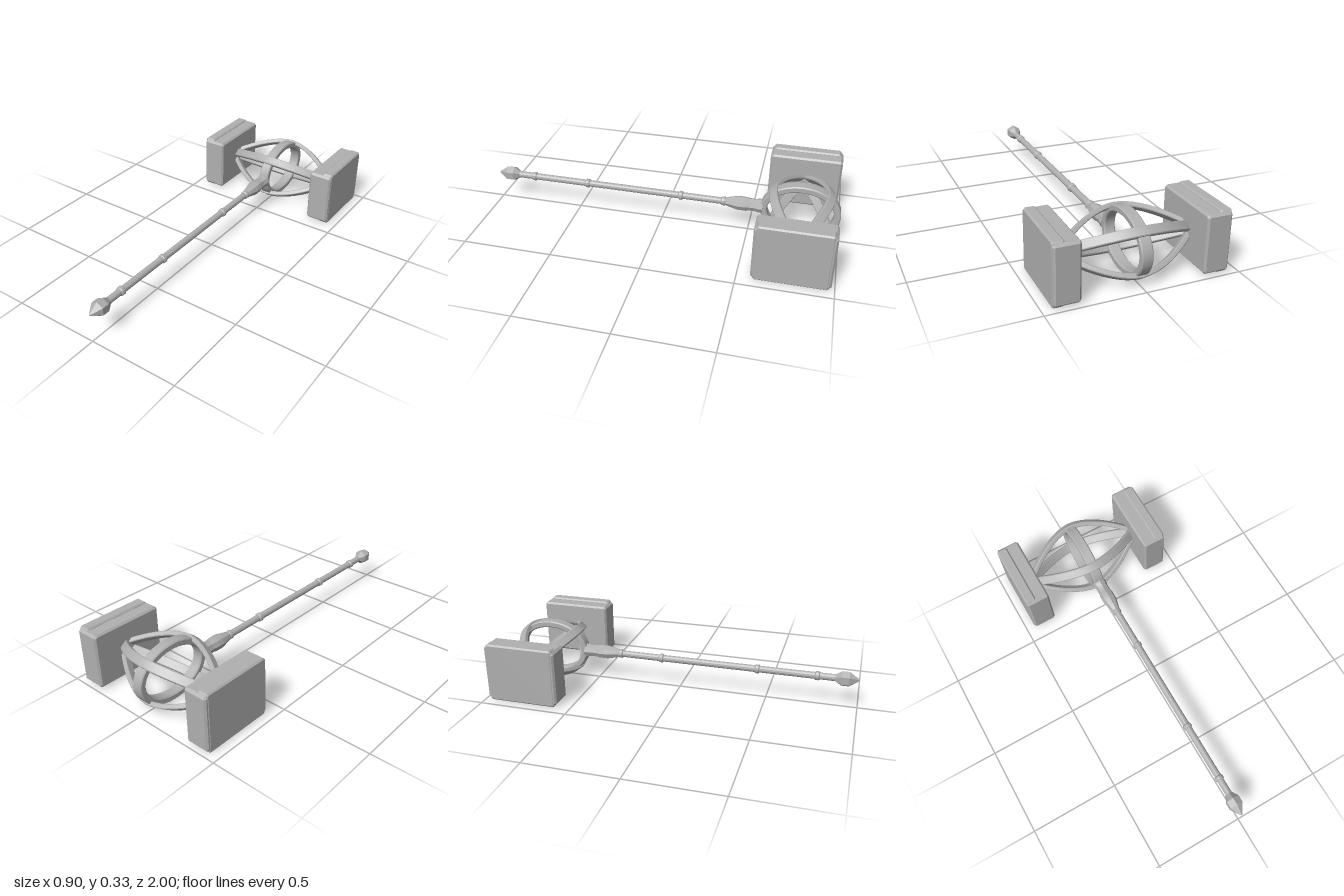
import * as THREE from 'three';
import { toCreasedNormals } from 'three/addons/utils/BufferGeometryUtils.js';

const AXIS_Y = 0.165, HEAD_Z = -0.78;

export function createModel() {
  const group = new THREE.Group();
  const metal = new THREE.MeshStandardMaterial({ color: 0xb0b0b0 });
  metal.name = 'grey metal';

  const add = (name, geometry) => {
    const mesh = new THREE.Mesh(toCreasedNormals(geometry, 0.5), metal);
    mesh.name = name;
    group.add(mesh);
    return mesh;
  };

  // Rectangle outline with cut corners, counter-clockwise
  const cutRect = (w, h, c) => {
    const x = w / 2, y = h / 2;
    return [[x, c - y], [x, y - c], [x - c, y], [c - x, y], [-x, y - c], [-x, c - y], [c - x, -y], [x - c, -y]]
      .map(([a, b]) => new THREE.Vector2(a, b));
  };

  // Sweep a chamfered section along a path; pathAt(t) gives position, wAt(t) the width direction
  const sweep = (pathAt, wAt, width, thick, chamfer, steps) => {
    const section = cutRect(width, thick, chamfer), n = section.length;
    const positions = [], index = [];
    for (let i = 0; i <= steps; i++) {
      const t = i / steps, p = pathAt(t);
      const T = pathAt(t + 0.001).sub(pathAt(t - 0.001)).normalize();
      const N = new THREE.Vector3().crossVectors(T, wAt(t)).normalize();
      const W = new THREE.Vector3().crossVectors(N, T);
      for (const s of section) {
        positions.push(...p.clone().addScaledVector(W, s.x).addScaledVector(N, s.y).toArray());
      }
      if (i === steps) continue;
      for (let j = 0; j < n; j++) {
        const a = i * n + j, b = i * n + (j + 1) % n;
        index.push(a, b, b + n, a, b + n, a + n);
      }
    }
    const g = new THREE.BufferGeometry();
    g.setAttribute('position', new THREE.Float32BufferAttribute(positions, 3));
    g.setIndex(index);
    return g;
  };

  // Upright oval ring around the middle of the head
  add('headRing', sweep(
    t => {
      const a = t * Math.PI * 2;
      return new THREE.Vector3(0, AXIS_Y + 0.147 * Math.sin(a), HEAD_Z + 0.2 * Math.cos(a));
    },
    () => new THREE.Vector3(-1, 0, 0), 0.06, 0.036, 0.006, 32));

  // Four bowed ribs joining the two striking blocks
  for (const sy of [1, -1]) for (const sz of [1, -1]) {
    add('headRib', sweep(
      t => {
        const u = 2 * t - 1, bow = 1 - Math.pow(Math.abs(u), 1.75);
        return new THREE.Vector3(0.33 * u,
          AXIS_Y + sy * (0.018 + 0.096 * bow), HEAD_Z + sz * (0.015 + 0.138 * bow));
      },
      () => new THREE.Vector3(0, -sy * 0.61, sz * 0.79), 0.05, 0.026, 0.004, 20));
  }

  // Chamfered block, thin along x
  const block = (w, h, d, c) => {
    const g = new THREE.ExtrudeGeometry(new THREE.Shape(cutRect(d - 2 * c, h - 2 * c, c * 0.6)), {
      depth: w - 2 * c, bevelEnabled: true, bevelSegments: 1, bevelSize: c, bevelThickness: c,
    });
    return g.translate(0, 0, c - w / 2).rotateY(Math.PI / 2);
  };

  // Striking blocks with a slightly taller outer band
  for (const side of [1, -1]) {
    const prefix = side > 0 ? 'left' : 'right';
    add(prefix + 'Block', block(0.134, 0.31, 0.41, 0.01))
      .position.set(side * 0.381, AXIS_Y, HEAD_Z + 0.003);
    add(prefix + 'BlockBand', block(0.062, 0.33, 0.385, 0.008))
      .position.set(side * 0.419, AXIS_Y, HEAD_Z + 0.003);
  }

  // Turned parts along the handle: profile of [radius, z]
  const turned = (name, profile, sides) => {
    const g = new THREE.LatheGeometry(profile.map(([r, z]) => new THREE.Vector2(r, z)), sides);
    return add(name, g.rotateX(Math.PI / 2).translate(0, AXIS_Y, 0));
  };

  turned('shaft', [[0, -0.4], [0.019, -0.4], [0.019, 0.89], [0, 0.89]], 12);
  for (const z of [-0.355, -0.11, 0.445, 0.775]) {
    turned('shaftCollar', [[0.018, z - 0.014], [0.022, z - 0.012], [0.025, z - 0.008],
      [0.025, z + 0.008], [0.022, z + 0.012], [0.018, z + 0.014]], 12);
  }
  turned('socket', [[0, -0.575], [0.04, -0.575], [0.04, -0.55], [0.036, -0.54],
    [0.036, -0.5], [0.04, -0.485], [0.04, -0.435], [0.023, -0.365], [0, -0.365]], 8);
  turned('pommel', [[0, 0.87], [0.02, 0.87], [0.043, 0.905], [0.043, 0.945], [0.004, 1], [0, 1]], 6);

  return group;
}
